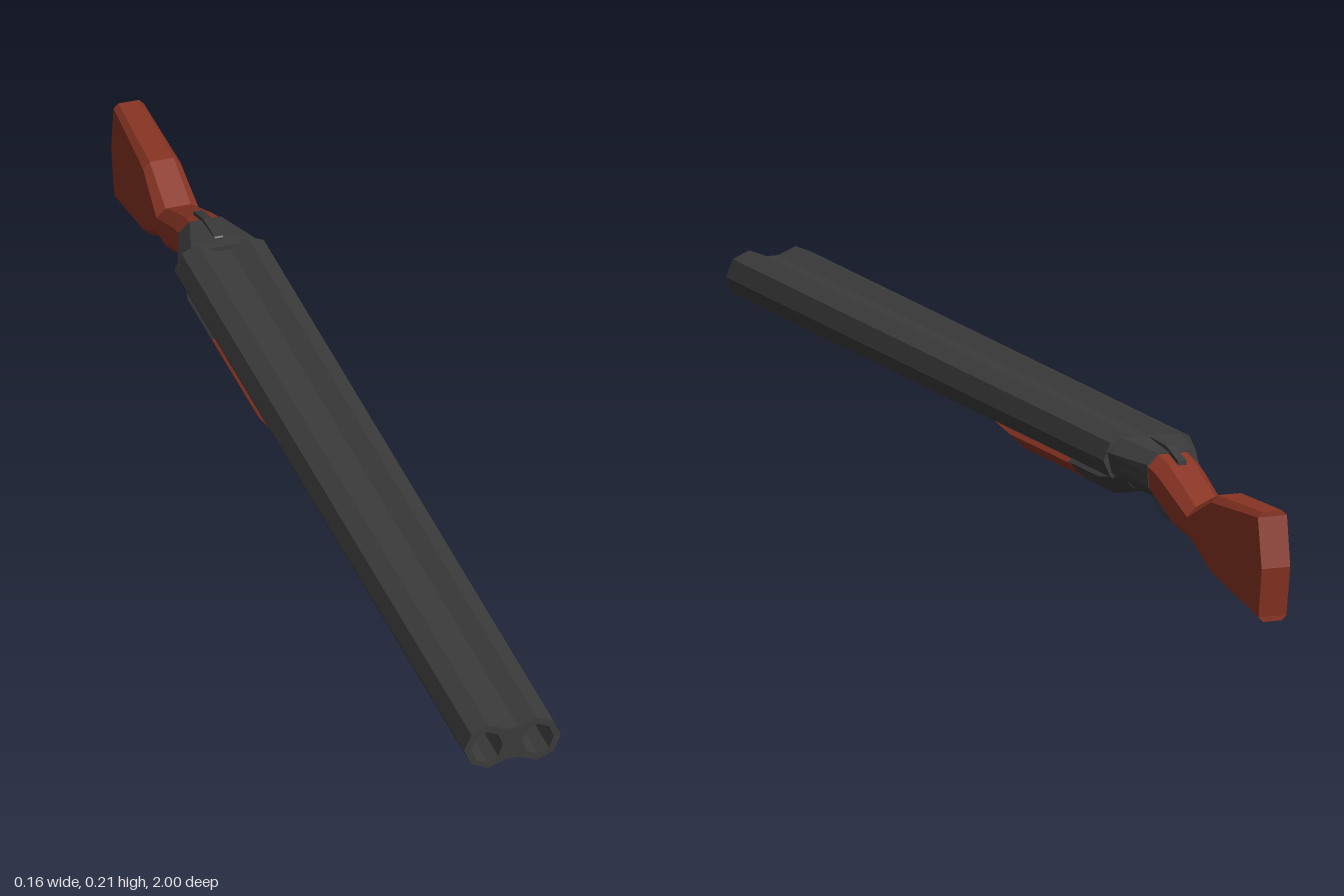
import * as THREE from 'three';

const metal = new THREE.MeshStandardMaterial({ color: 0x3b3b3b, flatShading: true });
metal.name = 'dark steel';
const wood = new THREE.MeshStandardMaterial({ color: 0x883423, flatShading: true });
wood.name = 'red wood';

// Loft of chamfered sections, listed front to back.
// Section: z, bottom y, top y, bottom half width, top half width, chamfer, rearward bulge at mid height
function loft(sections) {
  const pos = [], idx = [], n = 10;
  for (const { z, y0, y1, w0, w1, c, bulge = 0 } of sections) {
    const mid = (y0 + y1) / 2;
    const side = [
      [w0 - c, y0, 0], [w0, y0 + c, 0], [(w0 + w1) / 2, mid, bulge], [w1, y1 - c, 0], [w1 - c, y1, 0],
    ];
    for (const [x, y, b] of side) pos.push(x, y, z - b);
    for (const [x, y, b] of side.reverse()) pos.push(-x, y, z - b);
  }
  const last = (sections.length - 1) * n;
  for (let s = 0; s < last; s += n) {
    for (let j = 0; j < n; j++) {
      const k = (j + 1) % n;
      idx.push(s + j, s + n + j, s + k, s + k, s + n + j, s + n + k);
    }
  }
  for (let k = 0; k < 4; k++) {
    const r0 = k, r1 = k + 1, l1 = n - 2 - k, l0 = n - 1 - k;
    idx.push(r0, r1, l1, r0, l1, l0);
    idx.push(last + r0, last + l1, last + r1, last + r0, last + l0, last + l1);
  }
  const g = new THREE.BufferGeometry();
  g.setAttribute('position', new THREE.Float32BufferAttribute(pos, 3));
  g.setIndex(idx);
  const flat = g.toNonIndexed();
  flat.computeVertexNormals();
  return flat;
}

const sec = (z, y0, y1, w0, w1, c, bulge) => ({ z, y0, y1, w0, w1, c, bulge });
const toPoints = (list) => list.map(([x, y]) => new THREE.Vector2(x, y));

// Thin plate from a [z, y] outline, centred on x = 0
function sidePlate(outline, thickness, hole) {
  const shape = new THREE.Shape(toPoints(outline));
  if (hole) shape.holes.push(new THREE.Path(toPoints(hole)));
  const g = new THREE.ExtrudeGeometry(shape, { depth: thickness, bevelEnabled: false });
  return g.rotateY(-Math.PI / 2).translate(thickness / 2, 0, 0);
}

// Joined outline of the two octagonal barrels
function barrelShape(withBores) {
  const right = [[0.012, 0.144], [0.04, 0.133], [0.068, 0.145], [0.08, 0.172], [0.068, 0.2], [0.04, 0.212], [0.01, 0.2]];
  const left = right.map(([x, y]) => [-x, y]).reverse();
  const shape = new THREE.Shape(toPoints([...right, ...left]));
  if (withBores) {
    for (const s of [-1, 1]) {
      const bore = [];
      for (let i = 0; i < 8; i++) {
        const a = (i * Math.PI) / 4;
        bore.push([s * 0.042 + 0.026 * Math.cos(a), 0.172 + 0.028 * Math.sin(a)]);
      }
      shape.holes.push(new THREE.Path(toPoints(bore)));
    }
  }
  return shape;
}

function barrelPiece(zBack, zFront, withBores) {
  const g = new THREE.ExtrudeGeometry(barrelShape(withBores), { depth: zFront - zBack, bevelEnabled: false });
  return g.translate(0, 0, zBack);
}

export function createModel() {
  const model = new THREE.Group();
  model.name = 'doubleBarrelGun';
  const add = (name, geometry, material) => {
    const mesh = new THREE.Mesh(geometry, material);
    mesh.name = name;
    model.add(mesh);
  };

  // Barrels, hollow at the muzzle
  add('muzzle', barrelPiece(0.85, 1, true), metal);
  add('barrels', barrelPiece(-0.45, 0.85, false), metal);
  add('breech', barrelPiece(-0.5, -0.45, false), metal);
  add('lowerRib', loft([
    sec(0.3, 0.138, 0.15, 0.012, 0.012, 0.002),
    sec(0.02, 0.131, 0.15, 0.025, 0.025, 0.002),
    sec(-0.02, 0.131, 0.15, 0.025, 0.025, 0.002),
  ]), metal);

  // Wooden grip below the barrels
  add('forend', loft([
    sec(0.03, 0.133, 0.148, 0.045, 0.055, 0.004),
    sec(-0.1, 0.111, 0.148, 0.055, 0.069, 0.012),
    sec(-0.338, 0.111, 0.148, 0.055, 0.069, 0.012),
  ]), wood);

  // Receiver
  add('receiverBase', loft([
    sec(-0.338, 0.11, 0.15, 0.055, 0.07, 0.012),
    sec(-0.46, 0.109, 0.15, 0.055, 0.07, 0.012),
    sec(-0.53, 0.13, 0.16, 0.048, 0.058, 0.008),
  ]), metal);
  add('receiver', loft([
    sec(-0.49, 0.13, 0.207, 0.068, 0.076, 0.022),
    sec(-0.51, 0.13, 0.207, 0.064, 0.071, 0.022),
    sec(-0.59, 0.126, 0.198, 0.042, 0.044, 0.018),
  ]), metal);
  add('topLever', sidePlate([
    [-0.51, 0.2], [-0.52, 0.208], [-0.58, 0.206], [-0.628, 0.191], [-0.628, 0.18], [-0.58, 0.192],
  ], 0.014), metal);

  // Trigger and its guard
  add('triggerGuard', sidePlate(
    [[-0.515, 0.135], [-0.53, 0.112], [-0.56, 0.092], [-0.595, 0.088], [-0.612, 0.1], [-0.61, 0.13]],
    0.016,
    [[-0.527, 0.131], [-0.537, 0.115], [-0.562, 0.099], [-0.592, 0.095], [-0.604, 0.104], [-0.6, 0.129]],
  ), metal);
  add('trigger', sidePlate([
    [-0.55, 0.135], [-0.553, 0.116], [-0.562, 0.103], [-0.565, 0.105], [-0.561, 0.118], [-0.563, 0.135],
  ], 0.008), metal);

  // Shoulder stock
  add('stock', loft([
    sec(-0.585, 0.127, 0.197, 0.041, 0.043, 0.018),
    sec(-0.625, 0.11, 0.185, 0.04, 0.04, 0.018),
    sec(-0.68, 0.087, 0.161, 0.038, 0.038, 0.017),
    sec(-0.73, 0.084, 0.138, 0.036, 0.036, 0.015),
    sec(-0.815, 0.04, 0.174, 0.031, 0.031, 0.011),
    sec(-0.986, 0.003, 0.18, 0.024, 0.025, 0.008, 0.014),
  ]), wood);

  return model;
}
